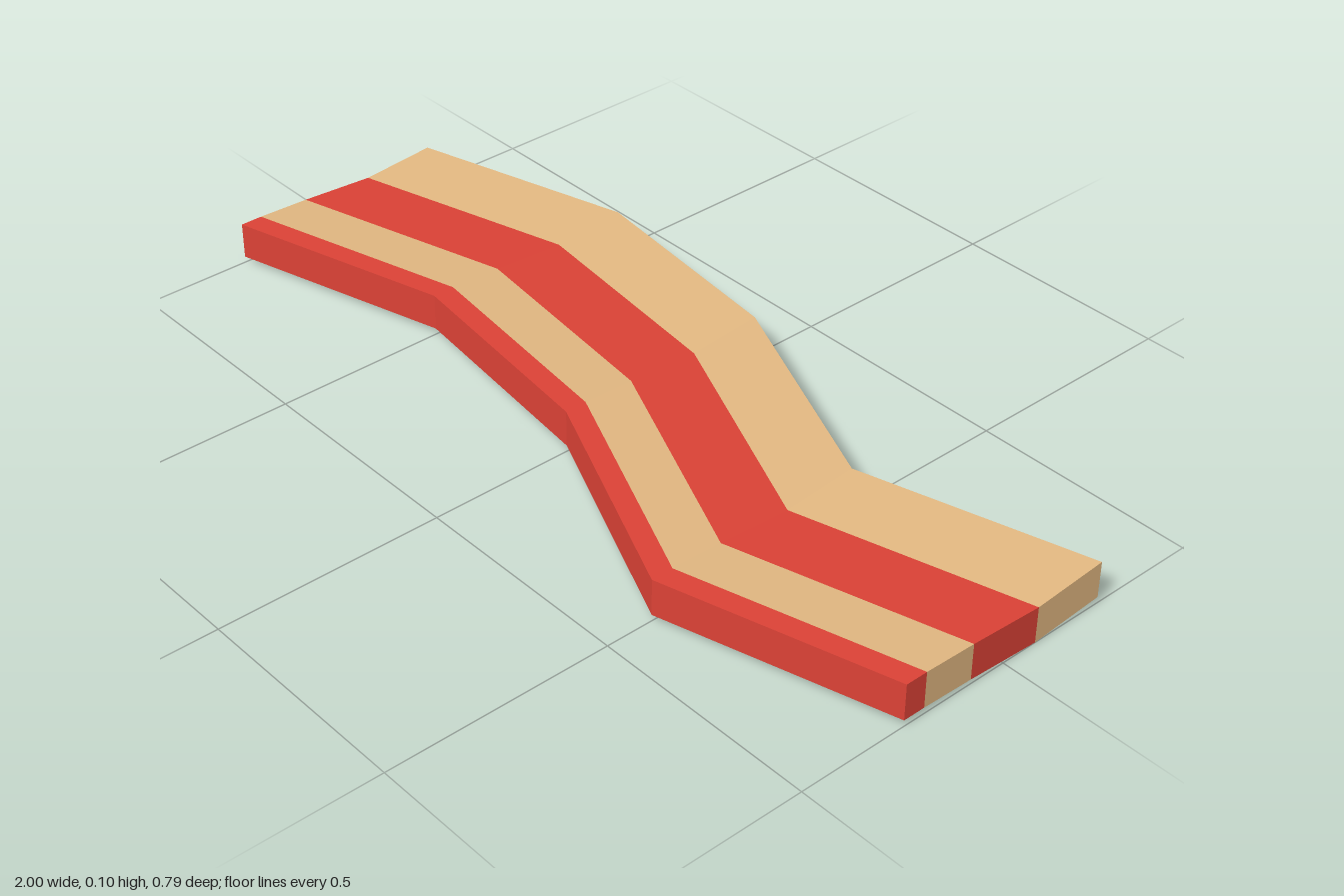
import * as THREE from 'three';

// Wavy spine: x position and sideways shift in z
const spine = [[-1, 0], [-0.5, -0.14], [0, -0.079], [0.5, 0.14], [1, 0]];
// Cross-section from front to back: z and height of the underside
const section = [[0.254, 0.014], [0.204, 0.014], [0.085, 0.01], [-0.085, 0], [-0.254, 0.014]];
const thickness = 0.082;

const red = new THREE.MeshStandardMaterial({ color: 0xdb4236, flatShading: true });
const tan = new THREE.MeshStandardMaterial({ color: 0xe0b680, flatShading: true });

// Point at spine station i, section line j, on the top (1) or underside (0)
function point(i, j, top) {
  const [x, shift] = spine[i];
  const [z, y] = section[j];
  return [x, y + top * thickness, z + shift];
}

// Mesh from quads, corners counter-clockwise as seen from outside
function quadMesh(name, quads, material) {
  const positions = quads.flatMap(([a, b, c, d]) => [a, b, c, a, c, d].flat());
  const geometry = new THREE.BufferGeometry();
  geometry.setAttribute('position', new THREE.Float32BufferAttribute(positions, 3));
  geometry.computeVertexNormals();
  const mesh = new THREE.Mesh(geometry, material);
  mesh.name = name;
  return mesh;
}

// Lengthwise stripe between section lines j and j + 1: top, underside and both ends
function stripe(name, j, material) {
  const k = j + 1;
  const last = spine.length - 1;
  const quads = [];
  for (let i = 0; i < last; i++) {
    quads.push([point(i, j, 1), point(i + 1, j, 1), point(i + 1, k, 1), point(i, k, 1)]);
    quads.push([point(i, k, 0), point(i + 1, k, 0), point(i + 1, j, 0), point(i, j, 0)]);
  }
  quads.push([point(last, j, 0), point(last, k, 0), point(last, k, 1), point(last, j, 1)]);
  quads.push([point(0, k, 0), point(0, j, 0), point(0, j, 1), point(0, k, 1)]);
  return quadMesh(name, quads, material);
}

// Upright long edge along section line j
function edge(name, j, isFront) {
  const quads = [];
  for (let i = 0; i < spine.length - 1; i++) {
    const quad = [point(i, j, 0), point(i + 1, j, 0), point(i + 1, j, 1), point(i, j, 1)];
    quads.push(isFront ? quad : quad.reverse());
  }
  return quadMesh(name, quads, red);
}

export function createModel() {
  const group = new THREE.Group();
  group.name = 'baconStrip';
  group.add(
    stripe('frontMeatStripe', 0, red),
    stripe('frontFatStripe', 1, tan),
    stripe('middleMeatStripe', 2, red),
    stripe('backFatStripe', 3, tan),
    edge('frontEdge', 0, true),
    edge('backEdge', section.length - 1, false)
  );
  return group;
}
